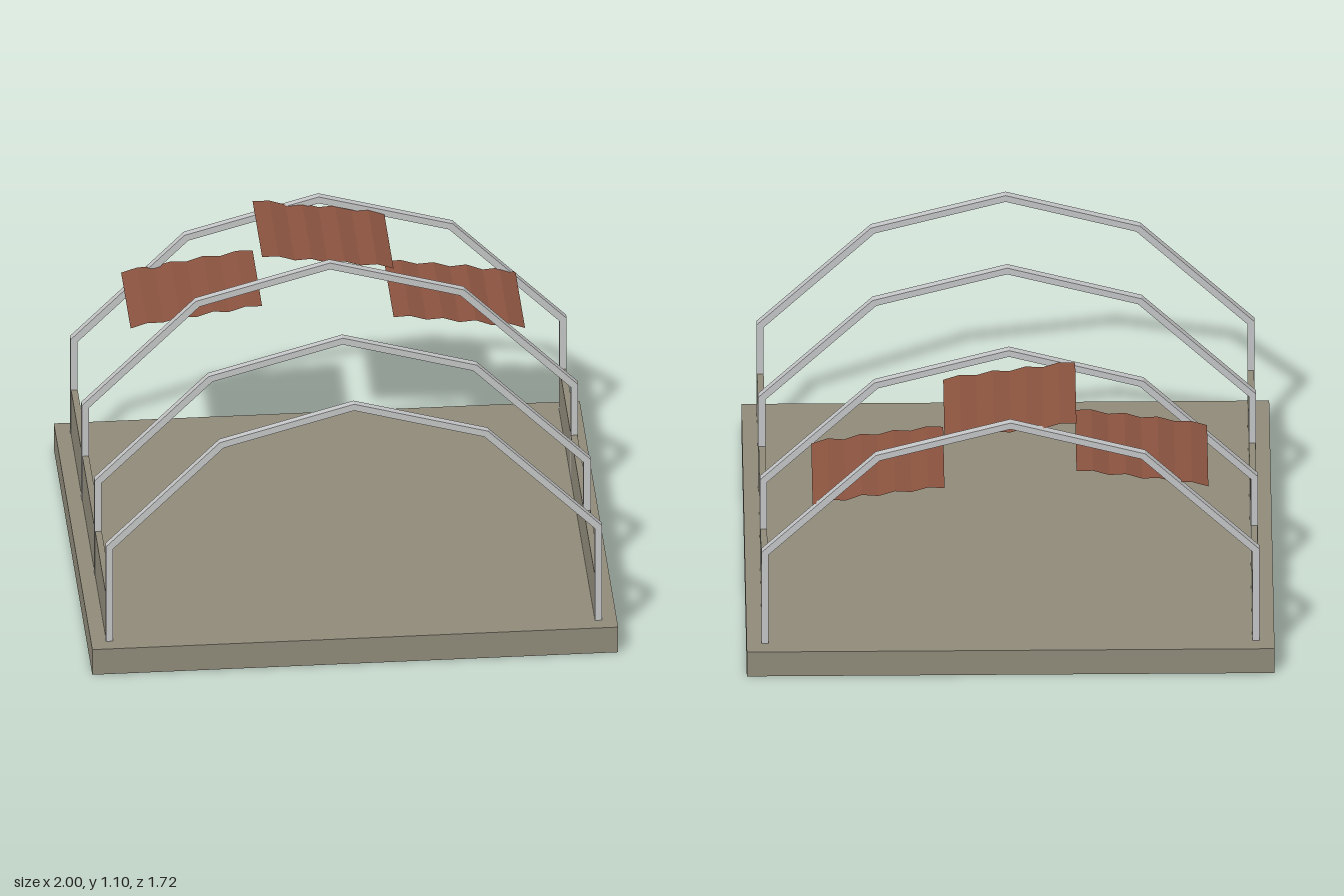
import * as THREE from 'three';

const concrete = new THREE.MeshStandardMaterial({ color: 0x8f8a79 });
concrete.name = 'concrete';
const steel = new THREE.MeshStandardMaterial({ color: 0xc4c5c6 });
steel.name = 'galvanised steel';
const rust = new THREE.MeshStandardMaterial({ color: 0x8a533f, side: THREE.DoubleSide, flatShading: true });
rust.name = 'rusty sheet';

function box(name, w, h, d, x, y, z, material) {
  const mesh = new THREE.Mesh(new THREE.BoxGeometry(w, h, d), material);
  mesh.name = name;
  mesh.position.set(x, y, z);
  return mesh;
}

// Mitred outline of a bar of the given half thickness along a centre line
function offsetLine(points, half) {
  return points.map((p, i) => {
    const a = points[Math.max(i - 1, 0)], b = points[Math.min(i + 1, points.length - 1)];
    const d1 = (i > 0 ? p.clone().sub(a) : b.clone().sub(p)).normalize();
    const d2 = (i < points.length - 1 ? b.clone().sub(p) : d1.clone()).normalize();
    const n1 = new THREE.Vector2(-d1.y, d1.x), n2 = new THREE.Vector2(-d2.y, d2.x);
    const m = n1.clone().add(n2).normalize();
    return p.clone().addScaledVector(m, half / m.dot(n1));
  });
}

// Faceted arch rib from post foot to post foot
function ribGeometry() {
  const line = [[-0.93, 0.11], [-0.93, 0.518], [-0.503, 0.947], [0, 1.088],
    [0.503, 0.947], [0.93, 0.518], [0.93, 0.11]].map(([x, y]) => new THREE.Vector2(x, y));
  const outline = [...offsetLine(line, 0.0135), ...offsetLine(line, -0.0135).reverse()];
  const geometry = new THREE.ExtrudeGeometry(new THREE.Shape(outline), { depth: 0.028, bevelEnabled: false });
  return geometry.translate(0, 0, -0.014);
}

// Corrugated roof sheet: a strip whose heights follow a stepped profile
function roofSheet(name, x, heights) {
  const geometry = new THREE.PlaneGeometry(0.5, 0.423, 8, 1).rotateX(-Math.PI / 2);
  const pos = geometry.attributes.position;
  for (let i = 0; i < pos.count; i++) pos.setY(i, heights[i % 9]);
  geometry.computeVertexNormals();
  const mesh = new THREE.Mesh(geometry, rust);
  mesh.name = name;
  mesh.position.set(x, 0, -0.5735);
  return mesh;
}

export function createModel() {
  const model = new THREE.Group();
  model.name = 'ruinedArchedShed';

  model.add(box('foundationSlab', 2, 0.11, 1.715, 0, 0.055, 0, concrete));

  // Low side walls between the end posts
  for (const [side, x] of [['left', 0.929], ['right', -0.929]]) {
    model.add(box(side + 'LowWall', 0.025, 0.192, 1.55, x, 0.206, 0, concrete));
  }

  // Four arch ribs
  const rib = ribGeometry();
  [-0.786, -0.285, 0.285, 0.786].forEach((z, i) => {
    const mesh = new THREE.Mesh(rib, steel);
    mesh.name = 'archRib' + (i + 1);
    mesh.position.z = z;
    model.add(mesh);
  });

  // Remaining roof sheets over the rear bay
  model.add(roofSheet('rightRoofSheet', -0.5,
    [0.8, 0.82, 0.82, 0.84, 0.837, 0.858, 0.854, 0.874, 0.873]));
  model.add(roofSheet('ridgeRoofSheet', 0,
    [1.088, 1.088, 1.067, 1.071, 1.05, 1.054, 1.033, 1.035, 1.013]));
  model.add(roofSheet('leftRoofSheet', 0.5,
    [0.8, 0.803, 0.783, 0.787, 0.766, 0.771, 0.746, 0.751, 0.728]));

  return model;
}
